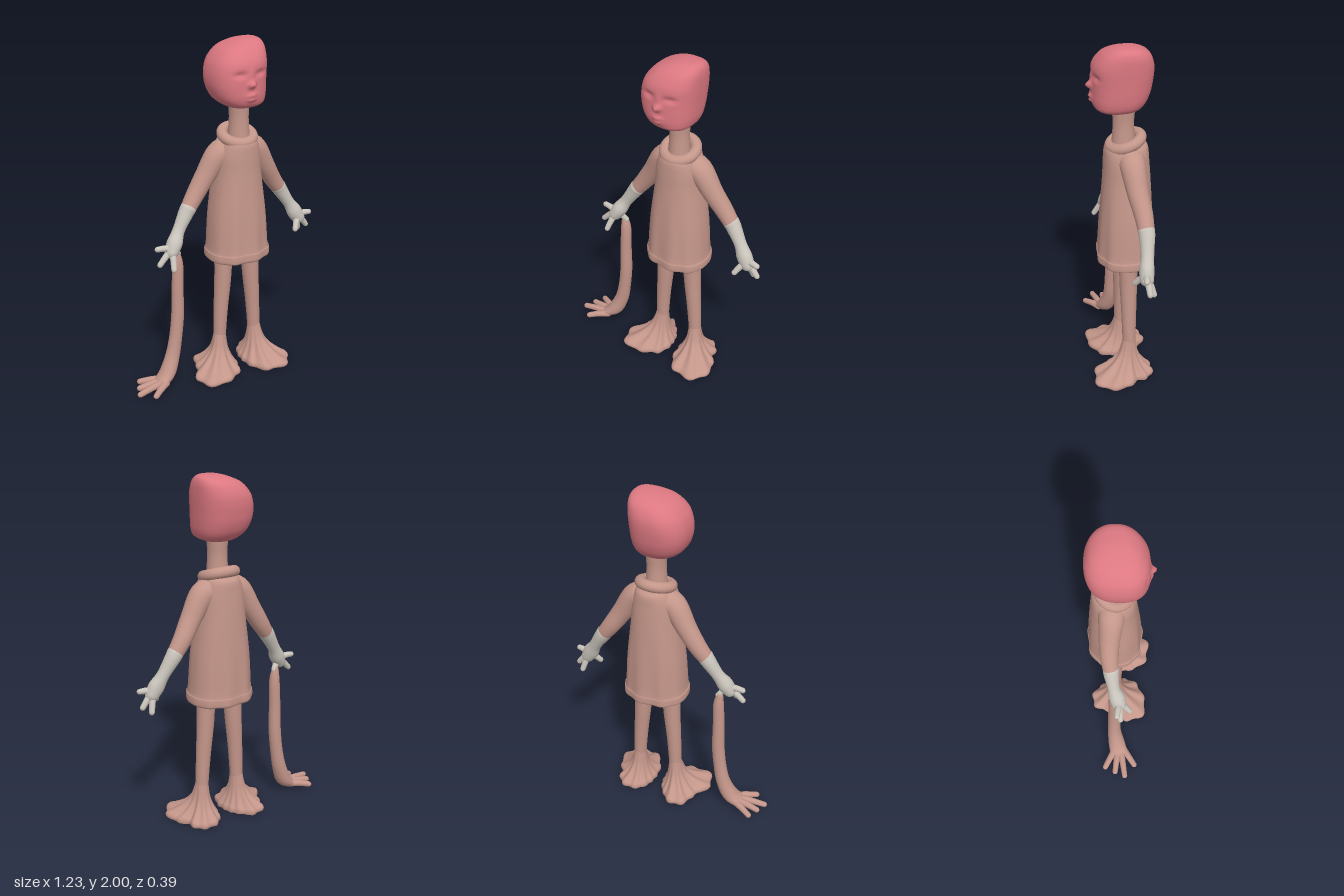
import * as THREE from 'three';

const V = (x, y, z) => new THREE.Vector3(x, y, z);
const mat = (name, color) => new THREE.MeshStandardMaterial({ name, color });

// Catmull-Rom interpolation of rows of numbers
function smooth(rows, n = 6) {
  const out = [];
  const at = (i) => rows[Math.min(Math.max(i, 0), rows.length - 1)];
  for (let i = 0; i < rows.length - 1; i++) {
    for (let s = 0; s < n; s++) {
      const t = s / n;
      out.push(rows[i].map((p1, k) => {
        const p0 = at(i - 1)[k], p2 = at(i + 1)[k], p3 = at(i + 2)[k];
        return p1 + 0.5 * t * (p2 - p0 + t * (2 * p0 - 5 * p1 + 4 * p2 - p3 + t * (3 * (p1 - p2) + p3 - p0)));
      }));
    }
  }
  out.push(rows[rows.length - 1]);
  return out;
}

// Closed skin over rings of points, with an optional sharp-edged first cap
function loft(rings, sharpStart = false) {
  if (sharpStart) rings = [rings[0], ...rings];
  const n = rings[0].length, m = rings.length, pos = [], idx = [];
  rings.forEach((r) => r.forEach((p) => pos.push(p.x, p.y, p.z)));
  for (const r of [rings[0], rings[m - 1]]) {
    const c = V(0, 0, 0);
    r.forEach((p) => c.add(p));
    c.divideScalar(n);
    pos.push(c.x, c.y, c.z);
  }
  for (let j = 0; j < n; j++) {
    const k = (j + 1) % n, top = (m - 1) * n;
    for (let i = 0; i < m - 1; i++) {
      if (sharpStart && i === 0) continue;
      const a = i * n + j, b = i * n + k;
      idx.push(a, a + n, b, b, a + n, b + n);
    }
    idx.push(m * n, j, k, m * n + 1, top + k, top + j);
  }
  const g = new THREE.BufferGeometry();
  g.setAttribute('position', new THREE.Float32BufferAttribute(pos, 3));
  g.setIndex(idx);
  g.computeVertexNormals();
  return g;
}

// Horizontal rings from rows [y, xMin, xMax, zFront, zBack]; warp adjusts each point
function stack(rows, { sub = 6, n = 48, e = 2, warp = null, sharp = false } = {}) {
  return loft(smooth(rows, sub).map(([y, x0, x1, zf, zb]) => Array.from({ length: n }, (_, j) => {
    const a = j / n * Math.PI * 2, c = Math.cos(a), s = Math.sin(a);
    const u = Math.sign(c) * Math.abs(c) ** (2 / e), w = Math.sign(s) * Math.abs(s) ** (2 / e);
    const p = V((x0 + x1) / 2 + u * (x1 - x0) / 2, y, (zf + zb) / 2 + w * (zf - zb) / 2);
    if (warp) warp(p, a, s);
    return p;
  })), sharp);
}

// Round-ended limb from rows [x, y, z, depth radius, width radius]
function limb(rows, n = 20) {
  const pts = smooth(rows.map((r) => (r.length < 5 ? [...r, r[3]] : r)));
  const P = (i) => V(...pts[Math.min(Math.max(i, 0), pts.length - 1)].slice(0, 3));
  const rings = [];
  const ring = (i, shift, f) => {
    const T = P(i + 1).sub(P(i - 1)).normalize();
    const N = V(0, 0, 1).addScaledVector(T, -T.z).normalize();
    const B = N.clone().cross(T);
    const [, , , rn, rb] = pts[i];
    rings.push(Array.from({ length: n }, (_, j) => {
      const a = j / n * Math.PI * 2;
      return P(i).addScaledVector(T, shift * Math.min(rn, rb))
        .addScaledVector(N, Math.cos(a) * rn * f).addScaledVector(B, Math.sin(a) * rb * f);
    }));
  };
  const caps = [0.1, 0.4, 0.8, 1.2];
  caps.forEach((a) => ring(0, -Math.cos(a), Math.sin(a)));
  pts.forEach((_, i) => ring(i, 0, 1));
  [...caps].reverse().forEach((a) => ring(pts.length - 1, Math.cos(a), Math.sin(a)));
  return loft(rings);
}

// Webbed foot: scalloped outline drawn in to the ankle with radiating ridges
function foot(ax, az, outline) {
  const curve = new THREE.CatmullRomCurve3(outline.map(([x, z]) => V(x, 0, z)), true);
  const edge = curve.getPoints(88).slice(0, 88);
  const levels = [[0, 0.97], [0.012, 1], [0.028, 0.95], [0.045, 0.76], [0.07, 0.53],
    [0.1, 0.33], [0.14, 0.17], [0.19, 0.07], [0.24, 0]];
  return loft(smooth(levels, 3).map(([y, k]) => edge.map((p) => {
    const d = V(p.x - ax, 0, p.z - az), len = d.length(), a = Math.atan2(d.z, d.x);
    const r = (len * k + 0.036 * (1 - k)) * (1 + 0.045 * Math.cos(11 * a) * Math.min(1, k * 3));
    d.multiplyScalar(r / len);
    return V(ax + d.x, y * (1 + 0.12 * Math.cos(11 * a) * k), az + d.z);
  })), true);
}

export function createModel() {
  const root = new THREE.Group();
  const clay = mat('clay brown', 0xc4968a);
  const pink = mat('head pink', 0xdc7881);
  const grey = mat('glove grey', 0xc9c4bb);
  const add = (name, geo, m) => {
    const mesh = new THREE.Mesh(geo, m);
    mesh.name = name;
    root.add(mesh);
    return mesh;
  };

  // Head with flattened left side; bumps are [x, y, width, height, amount]
  const bumps = [[0.0, 1.838, 0.035, 0.016, -0.014], [0.125, 1.838, 0.035, 0.016, -0.014],
    [0.062, 1.785, 0.019, 0.018, 0.034], [0.062, 1.83, 0.014, 0.03, 0.008],
    [0.062, 1.727, 0.024, 0.008, 0.013], [0.062, 1.702, 0.02, 0.008, 0.012],
    [0.062, 1.715, 0.045, 0.03, 0.007]];
  add('head', stack([
    [1.638, 0.04, 0.12, 0.06, -0.05], [1.645, -0.005, 0.16, 0.1, -0.085],
    [1.665, -0.045, 0.19, 0.135, -0.115], [1.70, -0.08, 0.204, 0.147, -0.143],
    [1.75, -0.1, 0.21, 0.15, -0.163], [1.80, -0.106, 0.213, 0.149, -0.173],
    [1.85, -0.1, 0.216, 0.148, -0.178], [1.90, -0.08, 0.218, 0.138, -0.174],
    [1.95, -0.035, 0.217, 0.106, -0.152], [1.98, 0.025, 0.208, 0.068, -0.115],
    [1.995, 0.075, 0.19, 0.035, -0.075], [2.0, 0.115, 0.165, 0.005, -0.035],
  ], {
    n: 120, e: 2.5, warp: (p, a, s) => {
      if (s <= 0) return;
      let dz = 0;
      for (const [x, y, w, h, k] of bumps) dz += k * Math.exp(-(((p.x - x) / w) ** 2) - ((p.y - y) / h) ** 2);
      p.z += dz * Math.min(1, s * 1.5);
    },
  }), pink);

  // Neck and rolled collar
  add('neck', stack([[1.4, 0.02, 0.15, 0.05, -0.088], [1.55, 0.031, 0.139, 0.04, -0.075],
    [1.64, 0.028, 0.142, 0.043, -0.08], [1.69, 0.026, 0.144, 0.045, -0.082]], { n: 32 }), clay);
  const collar = add('collar', new THREE.TorusGeometry(0.086, 0.031, 18, 56).rotateX(Math.PI / 2), clay);
  collar.position.set(0.083, 1.458, -0.03);
  collar.rotation.x = 0.32;

  // Long jumper with soft folds and a thick hem
  add('jumper', stack([
    [0.73, -0.095, 0.262, 0.12, -0.18], [0.742, -0.106, 0.272, 0.13, -0.19],
    [0.78, -0.105, 0.271, 0.13, -0.19], [0.805, -0.097, 0.262, 0.124, -0.185],
    [1.0, -0.085, 0.248, 0.113, -0.178], [1.24, -0.055, 0.218, 0.095, -0.166],
    [1.36, -0.045, 0.208, 0.09, -0.157], [1.43, -0.022, 0.188, 0.082, -0.15],
    [1.455, 0.0, 0.165, 0.05, -0.13],
  ], {
    n: 72, e: 2.3, sharp: true, warp: (p, a) => {
      p.z += 0.006 * Math.sin(a) * Math.cos(9 * a) * Math.max(0, 1.25 - p.y) * 2;
    },
  }), clay);

  // Arms: sleeve, glove and fingers
  const arms = {
    left: {
      sleeve: [[0.12, 1.375, -0.045, 0.075], [0.2, 1.36, -0.045, 0.07], [0.28, 1.24, -0.055, 0.058],
        [0.345, 1.14, -0.072, 0.051], [0.402, 1.06, -0.076, 0.043]],
      glove: [[0.392, 1.075, -0.076, 0.046], [0.412, 1.045, -0.076, 0.043], [0.465, 0.96, -0.066, 0.035],
        [0.5, 0.9, -0.055, 0.04, 0.046], [0.527, 0.855, -0.05, 0.038, 0.04]],
      palm: [0.52, 0.87, -0.05],
      tips: [[0.593, 0.882, -0.035], [0.588, 0.795, -0.055], [0.55, 0.77, -0.085], [0.475, 0.806, 0.0]],
    },
    right: {
      sleeve: [[0.05, 1.375, -0.045, 0.075], [-0.03, 1.36, -0.045, 0.07], [-0.11, 1.24, -0.055, 0.058],
        [-0.175, 1.14, -0.055, 0.051], [-0.232, 1.06, -0.045, 0.043]],
      glove: [[-0.222, 1.075, -0.046, 0.046], [-0.242, 1.045, -0.044, 0.043], [-0.295, 0.96, -0.03, 0.035],
        [-0.33, 0.9, -0.012, 0.046, 0.044], [-0.357, 0.855, 0.0, 0.042, 0.038]],
      palm: [-0.35, 0.87, 0.0],
      tips: [[-0.438, 0.885, -0.01], [-0.435, 0.798, 0.01], [-0.375, 0.775, 0.062], [-0.3, 0.82, -0.03]],
    },
  };
  const finger = (from, to, lift, r) => {
    const mid = from.map((v, k) => (v + to[k]) / 2 + (k === 1 ? lift : 0));
    return limb([[...from, r * 1.35], [...mid, r * 1.15], [...to, r]], 14);
  };
  for (const [side, arm] of Object.entries(arms)) {
    add(side + 'Sleeve', limb(arm.sleeve, 32), clay);
    add(side + 'Glove', limb(arm.glove, 28), grey);
    arm.tips.forEach((t, i) => add(`${side}Finger${i + 1}`, finger(arm.palm, t, 0.006, 0.016), grey));
  }

  // Legs and webbed feet
  for (const [side, xs] of [['left', [0.172, 0.178, 0.194, 0.205, 0.205]], ['right', [-0.006, -0.011, -0.025, -0.033, -0.033]]]) {
    const ys = [0.78, 0.6, 0.4, 0.22, 0.1], rs = [0.054, 0.05, 0.043, 0.038, 0.036];
    add(side + 'Leg', limb(xs.map((x, i) => [x, ys[i], -0.03, rs[i]]), 28), clay);
  }
  add('leftFoot', foot(0.205, -0.03, [[0.365, 0.0], [0.375, 0.09], [0.34, 0.165], [0.26, 0.185], [0.18, 0.165],
    [0.13, 0.1], [0.11, 0], [0.13, -0.1], [0.18, -0.155], [0.26, -0.16], [0.31, -0.12], [0.32, -0.06]]), clay);
  add('rightFoot', foot(-0.033, -0.03, [[0.055, 0.02], [0.03, 0.1], [-0.05, 0.15], [-0.14, 0.17], [-0.21, 0.135],
    [-0.235, 0.06], [-0.21, 0.0], [-0.175, -0.06], [-0.16, -0.12], [-0.125, -0.17], [-0.05, -0.175],
    [0.0, -0.13], [0.04, -0.07]]), clay);

  // Spare limb dangling from the right hand, with toes on the ground
  add('spareLimb', limb([[-0.31, 0.82, -0.03, 0.02], [-0.305, 0.75, -0.03, 0.031], [-0.31, 0.6, -0.03, 0.034],
    [-0.313, 0.44, -0.03, 0.037], [-0.328, 0.3, -0.03, 0.038], [-0.352, 0.18, -0.028, 0.042],
    [-0.395, 0.08, -0.015, 0.052, 0.045], [-0.45, 0.036, 0.0, 0.055, 0.028]], 28), clay);
  [[-0.6, 0.022, 0.04], [-0.575, 0.022, -0.022], [-0.545, 0.022, -0.085], [-0.528, 0.022, 0.1]].forEach((t, i) =>
    add(`spareToe${i + 1}`, finger([-0.43, 0.036, t[2] * 0.3], t, 0.004, 0.017), clay));

  return root;
}
